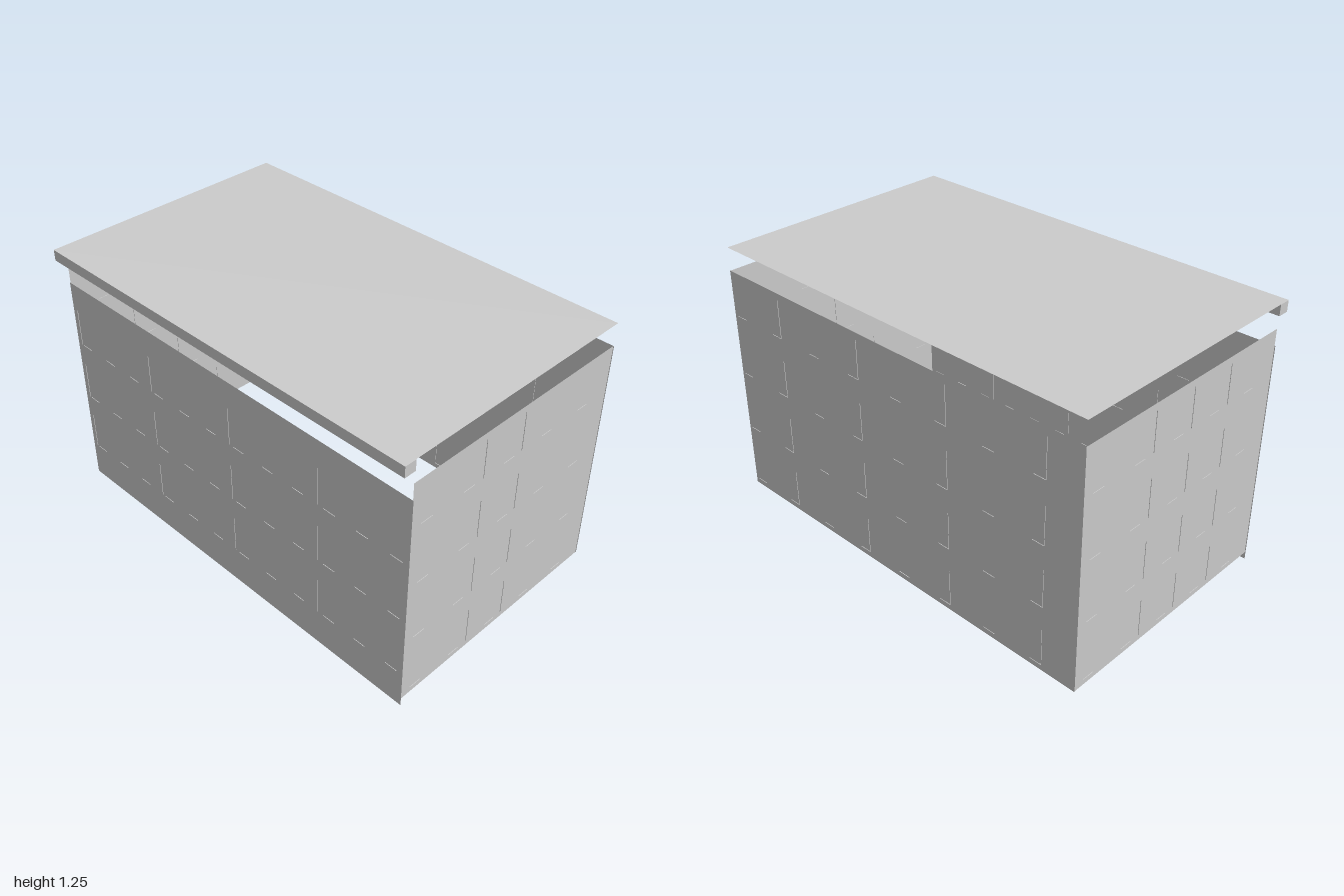
import * as THREE from 'three';

const grey = new THREE.MeshStandardMaterial({ color: 0xcccccc, side: THREE.DoubleSide });
grey.name = 'plain grey';

const FIN = 0.005; // depth of the seams across a wall sheet

function addMesh(parent, geometry, name, x, y, z) {
  const mesh = new THREE.Mesh(geometry, grey);
  mesh.name = name;
  mesh.position.set(x, y, z);
  parent.add(mesh);
  return mesh;
}

// Wall sheet in local x/y with rows of paper-thin seams:
// a short dash at each place, and an upright where listed.
function makeWall(name, width, y0, y1, rows, dashes, uprights) {
  const wall = new THREE.Group();
  wall.name = name;
  addMesh(wall, new THREE.PlaneGeometry(width, y1 - y0), name + 'Sheet', 0, (y0 + y1) / 2, 0);
  const dash = new THREE.PlaneGeometry(0.06, FIN).rotateX(-Math.PI / 2);
  const upright = new THREE.PlaneGeometry(FIN, 0.18).rotateY(Math.PI / 2).rotateX(0);
  const uprightFin = upright.clone().rotateY(-Math.PI / 2);
  uprightFin.rotateY(Math.PI / 2);
  for (const y of rows) {
    for (const x of dashes) addMesh(wall, dash, 'seamDash', x, y, 0);
    for (const x of uprights) addMesh(wall, uprightFin, 'seamUpright', x, y + 0.09, 0);
  }
  return wall;
}

const steps = (start, step, count) => Array.from({ length: count }, (_, i) => start + i * step);

export function createModel() {
  const model = new THREE.Group();
  model.name = 'box';
  const backRows = steps(0.063, 0.29, 4);

  // Front wall, set a little lower than the others
  const front = makeWall('frontWall', 2, 0, 1.07, steps(0.18, 0.29, 3),
    steps(-0.93, 0.17, 12), steps(-0.97, 0.503, 4));
  front.position.z = 0.557;
  model.add(front);

  // Back wall
  const back = makeWall('backWall', 2, 0.035, 1.145, backRows,
    steps(-0.8, 0.25, 8), steps(-0.83, 0.5, 4));
  back.position.z = -0.606;
  model.add(back);

  // Side walls
  for (const [name, side] of [['leftWall', 1], ['rightWall', -1]]) {
    const wall = makeWall(name, 1.162, 0.035, 1.145, backRows,
      steps(-0.5, 0.23, 5), side > 0 ? [-0.19, 0.035] : [-0.19, 0.04, 0.275]);
    wall.rotation.y = side * Math.PI / 2;
    wall.position.set(side * 0.997, 0, -0.025);
    model.add(wall);
  }

  // Floating lid sheet with a lip along its front edge
  const lid = new THREE.PlaneGeometry(2, 1.215).rotateX(-Math.PI / 2);
  addMesh(model, lid, 'lid', 0, 1.252, 0.0025);
  addMesh(model, new THREE.BoxGeometry(2, 0.05, 0.055), 'lidLip', 0, 1.226, 0.5825);

  return model;
}
